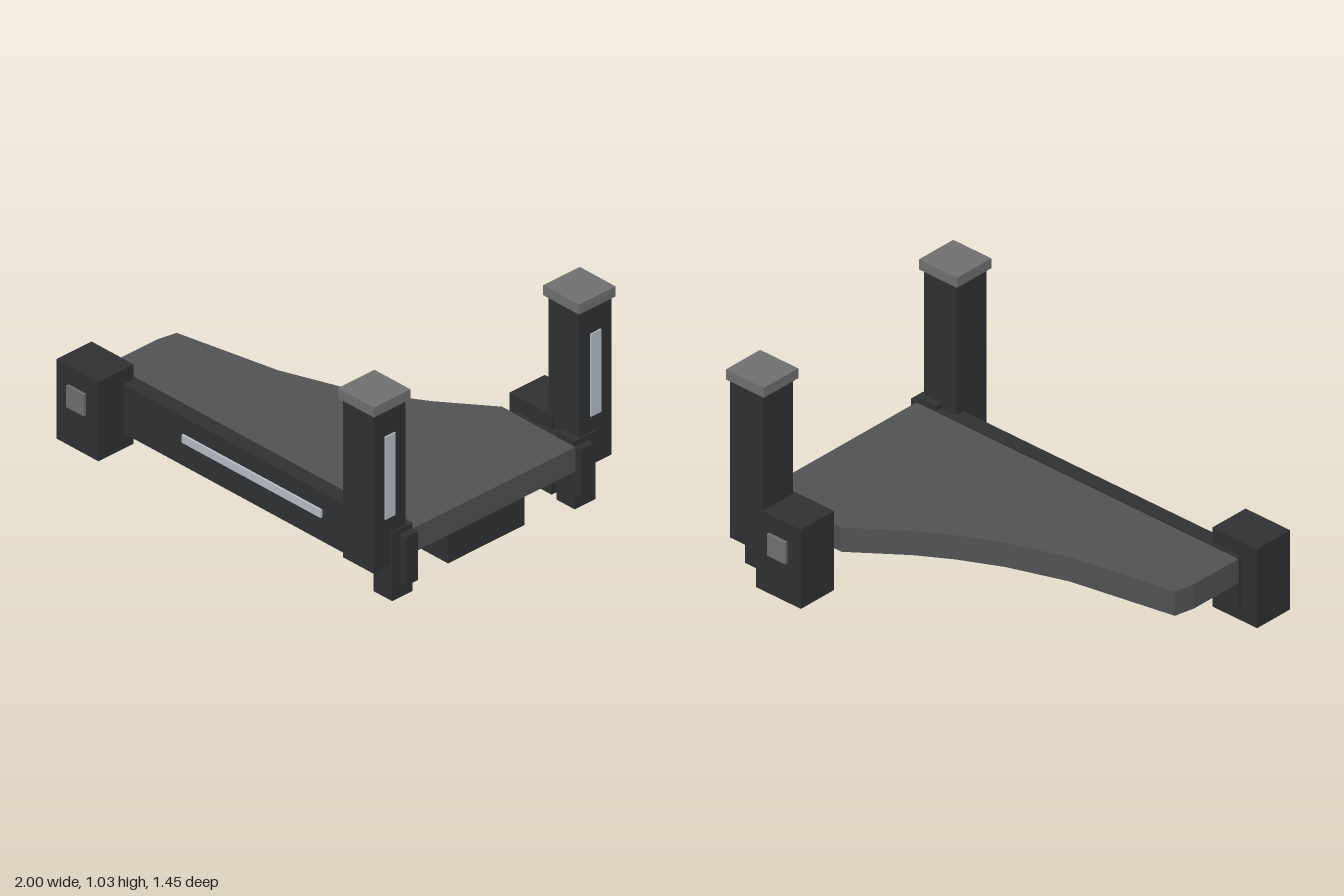
import * as THREE from 'three';

const paint = (color) => new THREE.MeshStandardMaterial({ color, flatShading: true });

export function createModel() {
  const model = new THREE.Group();
  const dark = paint(0x303234);
  const deckGrey = paint(0x525355);
  const capGrey = paint(0x727272);
  const light = paint(0xbac2cc);

  // Box given by its extents on each axis
  const block = (parent, name, material, [x0, x1], [y0, y1], [z0, z1]) => {
    const mesh = new THREE.Mesh(new THREE.BoxGeometry(x1 - x0, y1 - y0, z1 - z0), material);
    mesh.position.set((x0 + x1) / 2, (y0 + y1) / 2, (z0 + z1) / 2);
    mesh.name = name;
    parent.add(mesh);
  };

  // Deck with a concave rear edge, drawn as (x, -z) and laid flat
  const outline = [
    [-0.91, 0.48], [-0.91, 0.2], [-0.89, 0.1], [-0.37, 0], [-0.09, -0.1], [0.11, -0.2],
    [0.27, -0.3], [0.4, -0.4], [0.51, -0.485], [0.965, -0.485], [0.965, 0.48],
  ].map(([x, z]) => new THREE.Vector2(x, -z));
  const deckGeometry = new THREE.ExtrudeGeometry(new THREE.Shape(outline), { depth: 0.122, bevelEnabled: false });
  deckGeometry.rotateX(-Math.PI / 2);
  const deck = new THREE.Mesh(deckGeometry, deckGrey);
  deck.position.y = 0.2;
  deck.name = 'deck';
  model.add(deck);

  // Box hung under the deck
  block(model, 'underDeckBox', dark, [0.66, 0.92], [0.02, 0.195], [-0.225, 0.23]);

  // Front and rear sides: s flips z
  for (const [side, s, beamStart, footX] of [['front', 1, -0.91, -1], ['rear', -1, 0.585, 0.54]]) {
    const group = new THREE.Group();
    group.name = side + 'Side';
    model.add(group);
    const add = (name, material, x, y, [z0, z1]) =>
      block(group, side + name, material, x, y, s > 0 ? [z0, z1] : [-z1, -z0]);

    add('Beam', dark, [beamStart, 1], [0.08, 0.325], [0.483, 0.56]);
    add('Leg', dark, [0.85, 0.963], [0.008, 0.35], [0.481, 0.603]);

    // Column with cap and light strip
    add('Column', dark, [0.765, 0.955], [0.185, 0.98], [0.515, 0.705]);
    add('ColumnCap', capGrey, [0.748, 0.97], [0.98, 1.03], [0.5, 0.717]);
    add('ColumnLight', light, [0.95, 0.962], [0.43, 0.845], [0.58, 0.64]);

    // Foot block with a square plate on its outer face
    add('Foot', dark, [footX, footX + 0.26], [0.002, 0.4], [0.5, 0.709]);
    add('FootPlate', capGrey, [footX + 0.077, footX + 0.184], [0.2, 0.308], [0.7, 0.724]);
  }

  // Long light strip on the front beam
  block(model, 'beamLight', light, [-0.37, 0.488], [0.2, 0.24], [0.55, 0.57]);

  return model;
}
